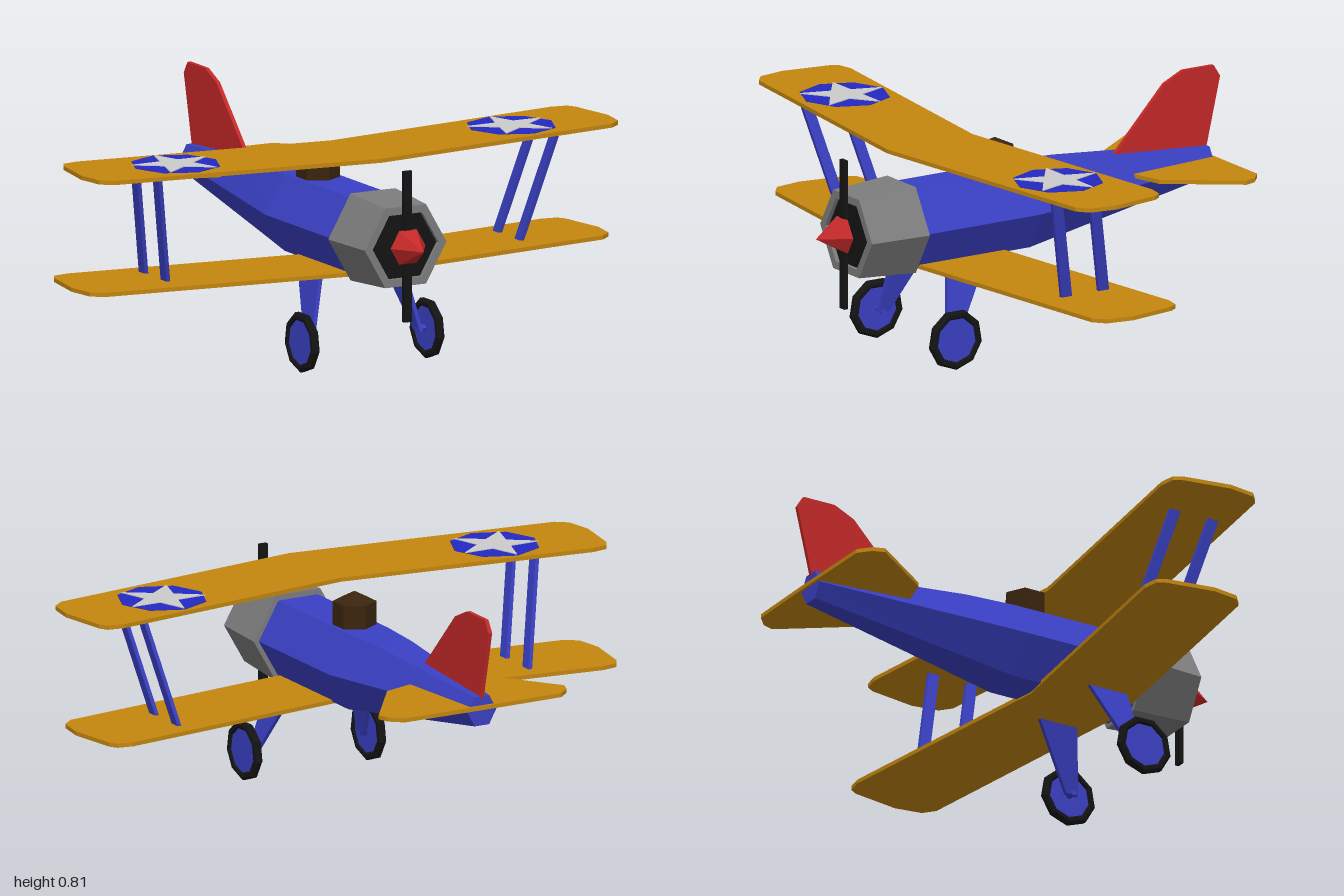
import * as THREE from 'three';
import { ConvexGeometry } from 'three/addons/geometries/ConvexGeometry.js';

const paint = (color) => new THREE.MeshStandardMaterial({ color, flatShading: true });
const BLUE = paint(0x3a40c4), GOLD = paint(0xc4870f), RED = paint(0xc42828), GREY = paint(0x7c7c7c);
const BLACK = paint(0x141414), BROWN = paint(0x3a240e), ROUNDEL = paint(0x2429c4), PALE = paint(0xcccccc);

export function createModel() {
  const plane = new THREE.Group();
  plane.name = 'biplane';

  const add = (name, geometry, material, x = 0, y = 0, z = 0) => {
    const mesh = new THREE.Mesh(geometry, material);
    mesh.name = name;
    mesh.position.set(x, y, z);
    plane.add(mesh);
    return mesh;
  };

  const extrude = (points, depth) => new THREE.ExtrudeGeometry(
    new THREE.Shape(points.map(([x, y]) => new THREE.Vector2(x, y))), { depth, bevelEnabled: false });

  // Horizontal plate from [x, z] points, rising from y = 0
  const plate = (points, depth) => extrude(points.map(([x, z]) => [x, -z]), depth).rotateX(-Math.PI / 2);

  // Adds the mirrored half of an outline given from front centre to rear centre
  const mirrored = (half) => [...half, ...half.filter(([x]) => x > 0).reverse().map(([x, z]) => [-x, z])];

  // Turns a six-sided solid of revolution to face forward, corners left and right
  const faceForward = (geometry) => geometry.rotateY(Math.PI / 6).rotateX(Math.PI / 2);

  // Slanted bar between two horizontal rectangles [x, y, zFront, zBack]
  const bar = (top, bottom, width) => new ConvexGeometry([top, bottom].flatMap(([x, y, zf, zb]) =>
    [-1, 1].flatMap((s) => [zf, zb].map((z) => new THREE.Vector3(x + s * width / 2, y, z)))));

  // Fuselage: hexagonal sections [z, top, middle, bottom, half width]
  const sections = [
    [0.47, 0.58, 0.45, 0.32, 0.15],
    [0, 0.58, 0.45, 0.32, 0.15],
    [-0.18, 0.578, 0.46, 0.35, 0.128],
    [-0.745, 0.54, 0.49, 0.44, 0.055],
  ];
  const vertices = [], index = [];
  for (const [z, t, m, b, w] of sections) {
    vertices.push(w, m, z, w / 2, t, z, -w / 2, t, z, -w, m, z, -w / 2, b, z, w / 2, b, z);
  }
  for (let s = 0; s < sections.length - 1; s++) {
    for (let i = 0; i < 6; i++) {
      const a = s * 6 + i, b = s * 6 + (i + 1) % 6;
      index.push(a, a + 6, b, b, a + 6, b + 6);
    }
  }
  const last = (sections.length - 1) * 6;
  for (let i = 1; i < 5; i++) {
    index.push(0, i, i + 1, last, last + i + 1, last + i);
  }
  const body = new THREE.BufferGeometry();
  body.setAttribute('position', new THREE.Float32BufferAttribute(vertices, 3));
  body.setIndex(index);
  body.computeVertexNormals();
  add('fuselage', body, BLUE);

  // Engine cowling with a dark recessed face
  const cowl = [[0, 0.46], [0.17, 0.46], [0.155, 0.68], [0.125, 0.68], [0.125, 0.65]];
  add('cowling', faceForward(new THREE.LatheGeometry(cowl.map(([r, z]) => new THREE.Vector2(r, z)), 6)),
    GREY, 0, 0.452, 0);
  add('engineFace', faceForward(new THREE.CylinderGeometry(0.126, 0.126, 0.02, 6)), BLACK, 0, 0.452, 0.655);

  // Propeller, shaft and spinner
  add('propellerShaft', faceForward(new THREE.CylinderGeometry(0.012, 0.012, 0.06, 6)), BLACK, 0, 0.452, 0.675);
  add('propeller', new THREE.BoxGeometry(0.03, 0.51, 0.014), BLACK, 0, 0.453, 0.69);
  add('spinner', faceForward(new THREE.ConeGeometry(0.066, 0.105, 6)), RED, 0, 0.452, 0.7475);

  // Swept wings with clipped tips
  const wing = plate(mirrored([[0, 0.518], [0.945, 0.398], [0.985, 0.365], [1, 0.27],
    [0.972, 0.1], [0.955, 0.072], [0.9, 0.062], [0, 0.178]]), 0.014);
  add('upperWing', wing, GOLD, 0, 0.704, 0);
  add('lowerWing', wing, GOLD, 0, 0.314, -0.065);

  // Tailplane and fin
  add('tailplane', plate(mirrored([[0, -0.41], [0.08, -0.41], [0.185, -0.44], [0.355, -0.675],
    [0.342, -0.715], [0.3, -0.752], [0, -0.755]]), 0.014), GOLD, 0, 0.495, 0);
  add('tailFin', extrude([[-0.38, 0.562], [-0.58, 0.775], [-0.655, 0.81], [-0.775, 0.81],
    [-0.8, 0.77], [-0.742, 0.52]], 0.014).rotateY(-Math.PI / 2), RED, 0.007, 0, 0);

  // Pilot's head: hexagonal block with a low pointed top
  add('pilotHead', new THREE.LatheGeometry([[0.073, 0.56], [0.073, 0.66], [0, 0.695]]
    .map(([r, y]) => new THREE.Vector2(r, y)), 6), BROWN, 0, 0, 0.09);

  // Star outline for the wing markings
  const star = Array.from({ length: 10 }, (_, i) => {
    const r = i % 2 ? 0.058 : 0.148, a = i * Math.PI / 5;
    return [r * Math.sin(a), -r * Math.cos(a)];
  });

  // Tyre cross-section, revolved around the axle
  const tyre = [[0.076, -0.008], [0.082, -0.014], [0.094, -0.014], [0.102, -0.007], [0.102, 0.007],
    [0.094, 0.014], [0.082, 0.014], [0.076, 0.008]].map(([r, y]) => new THREE.Vector2(r, y));
  const wheelTurn = (geometry) => geometry.rotateY(Math.PI / 18).rotateZ(-Math.PI / 2);

  for (const [side, s] of [['left', 1], ['right', -1]]) {
    // Wing markings
    add(side + 'Roundel', new THREE.CylinderGeometry(0.152, 0.152, 0.004, 8), ROUNDEL, s * 0.637, 0.718, 0.262);
    add(side + 'Star', plate(star, 0.003), PALE, s * 0.637, 0.72, 0.262);

    // Slanted wing struts
    for (const [name, z] of [['FrontStrut', 0.35], ['RearStrut', 0.203]]) {
      add(side + name, bar([s * 0.757, 0.708, z + 0.02, z - 0.02],
        [s * 0.67, 0.32, z - 0.078, z - 0.118], 0.014), BLUE);
    }

    // Landing gear leg, axle and wheel
    add(side + 'GearLeg', bar([s * 0.153, 0.325, 0.385, 0.235], [s * 0.207, 0.095, 0.42, 0.375], 0.014), BLUE);
    add(side + 'Axle', new THREE.CylinderGeometry(0.012, 0.012, 0.04, 6).rotateZ(Math.PI / 2),
      BLUE, s * 0.217, 0.103, 0.402);
    add(side + 'Tyre', wheelTurn(new THREE.LatheGeometry(tyre, 9)), BLACK, s * 0.237, 0.102, 0.404);
    add(side + 'WheelDisc', wheelTurn(new THREE.CylinderGeometry(0.078, 0.078, 0.016, 9)),
      BLUE, s * 0.237, 0.102, 0.404);
  }
  return plane;
}
